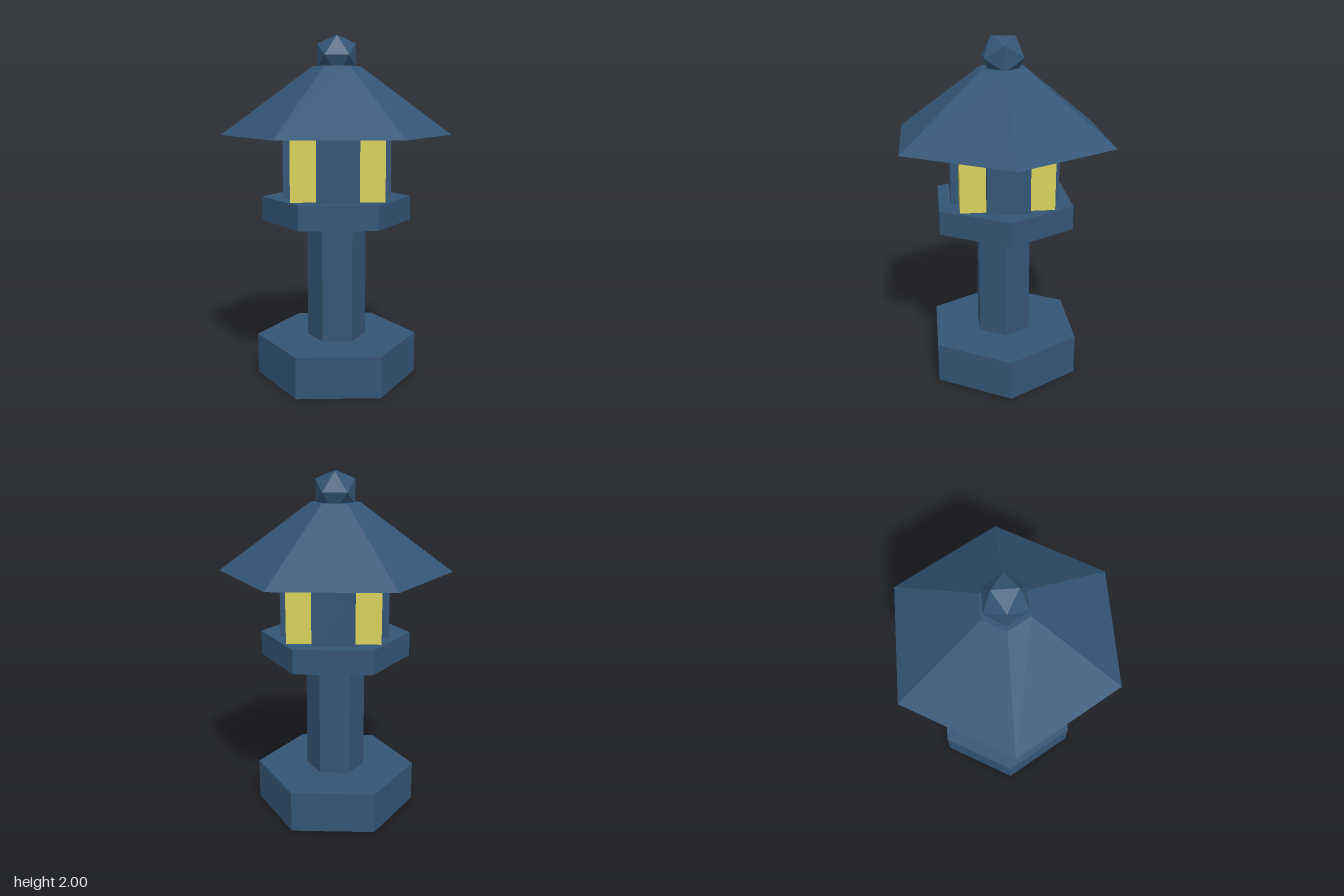
import * as THREE from 'three';

export function createModel() {
  const model = new THREE.Group();
  model.name = 'gardenLantern';

  const stone = new THREE.MeshStandardMaterial({ color: 0x335577 });
  stone.name = 'blueStone';
  stone.flatShading = true;
  const glow = new THREE.MeshStandardMaterial({ color: 0xd9d35b });
  glow.name = 'yellowGlow';
  glow.flatShading = true;

  const add = (name, geometry, material, x, y, z) => {
    const mesh = new THREE.Mesh(geometry, material);
    mesh.name = name;
    mesh.position.set(x, y, z);
    model.add(mesh);
    return mesh;
  };

  // Six-sided tier with corners on the x axis and flat faces to front and back
  const tier = (name, rTop, rBottom, y0, y1) =>
    add(name, new THREE.CylinderGeometry(rTop, rBottom, y1 - y0, 6, 1, false, Math.PI / 6),
      stone, 0, (y0 + y1) / 2, 0);

  tier('base', 0.475, 0.475, 0, 0.24);
  tier('post', 0.173, 0.173, 0.24, 0.94);
  tier('platform', 0.436, 0.436, 0.94, 1.08);
  tier('roof', 0.14, 0.67, 1.44, 1.83);

  // Glowing lamp core, visible at its four corners
  const y0 = 1.08, y1 = 1.44, height = y1 - y0, mid = (y0 + y1) / 2;
  add('lampCore', new THREE.BoxGeometry(0.528, height, 0.528), glow, 0, mid, 0);

  // Stone panel on the middle of each lamp side
  for (let i = 0; i < 4; i++) {
    const a = (i * Math.PI) / 2;
    const panel = add('lampPanel' + (i + 1), new THREE.BoxGeometry(0.24, height, 0.06), stone,
      Math.sin(a) * 0.279, mid, Math.cos(a) * 0.279);
    panel.rotation.y = a;
  }

  // Faceted finial, sunk slightly into the roof
  const finial = add('finial', new THREE.IcosahedronGeometry(0.131, 0), stone, 0, 1.889, 0);
  finial.rotation.y = Math.PI / 2;

  return model;
}
